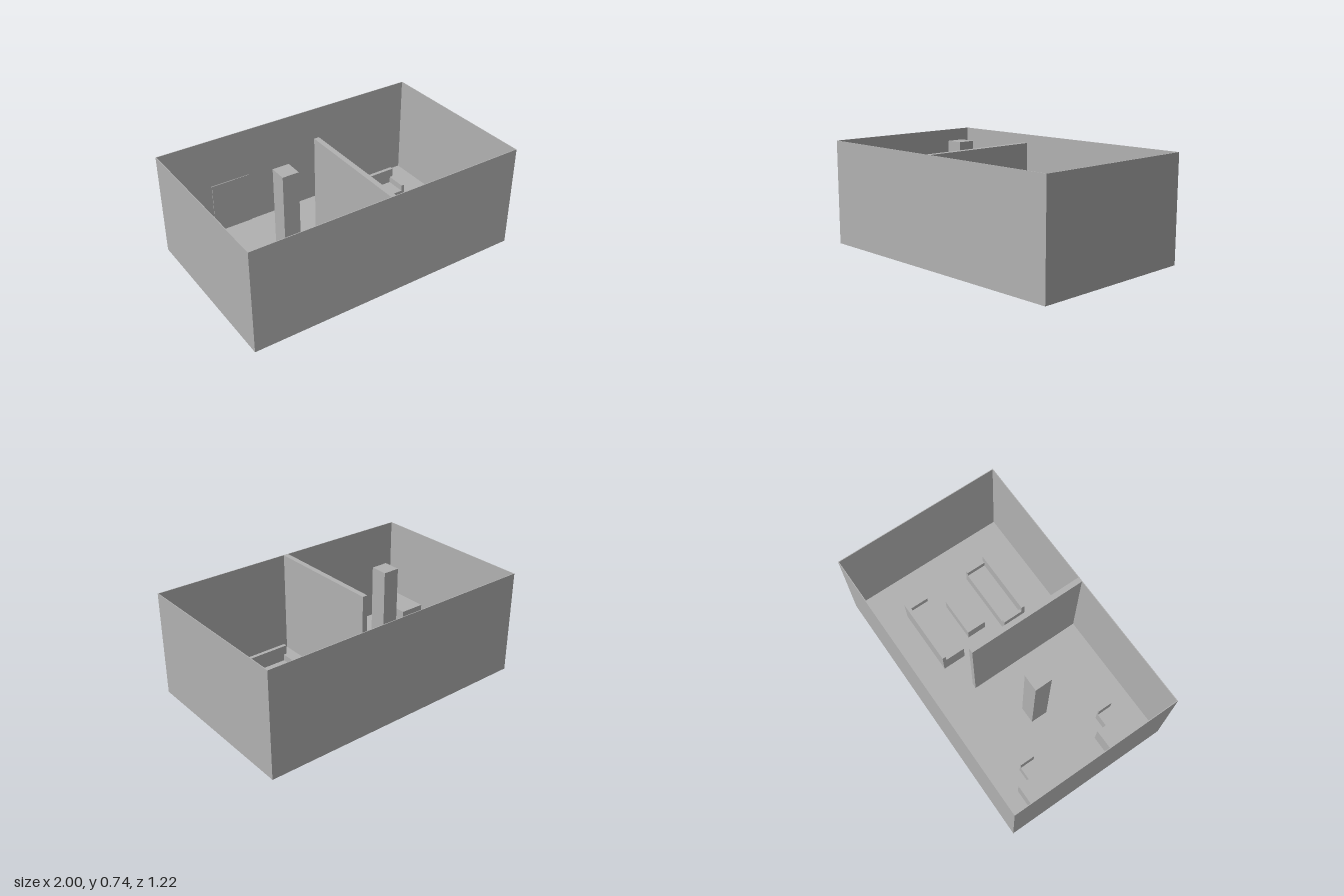
import * as THREE from 'three';

const GREY = new THREE.MeshStandardMaterial({ color: 0xb2b2b2 });
GREY.name = 'plain grey';

// Box given by its limits on each axis
function box(parent, name, [x0, x1], [y0, y1], [z0, z1]) {
  const mesh = new THREE.Mesh(new THREE.BoxGeometry(x1 - x0, y1 - y0, z1 - z0), GREY);
  mesh.position.set((x0 + x1) / 2, (y0 + y1) / 2, (z0 + z1) / 2);
  mesh.name = name;
  parent.add(mesh);
}

function group(parent, name, x = 0, z = 0) {
  const g = new THREE.Group();
  g.name = name;
  g.position.set(x, 0, z);
  parent.add(g);
  return g;
}

export function createModel() {
  const model = new THREE.Group();
  model.name = 'officeRoom';
  const W = 1, D = 0.612, H = 0.738, T = 0.005;

  // Room shell, open at the top
  const shell = group(model, 'roomShell');
  box(shell, 'floor', [-W, W], [0, T], [-D, D]);
  box(shell, 'backWall', [-W, W], [T, H], [-D, -D + T]);
  box(shell, 'frontWall', [-W, W], [T, H], [D - T, D]);
  box(shell, 'rightWall', [-W, -W + T], [T, H], [-D + T, D - T]);
  box(shell, 'leftWall', [W - T, W], [T, H], [-D + T, D - T]);
  box(model, 'partition', [-0.02, 0.017], [T, H], [-0.248, D - T]);
  box(model, 'column', [-0.448, -0.33], [T, H], [-0.065, 0.058]);
  box(model, 'door', [-0.632, -0.342], [T, 0.385], [-D + T, -0.602]);

  // Two work places: desk by the wall, chair with its back to the room
  for (const [deskZ, chairZ] of [[-0.282, -0.279], [0.367, 0.368]]) {
    const desk = group(model, 'desk', -0.883, deskZ);
    box(desk, 'deskBody', [-0.094, 0.094], [T, 0.187], [-0.143, 0.143]);
    const chair = group(model, 'chair', -0.73, chairZ);
    box(chair, 'chairSeat', [-0.053, 0.053], [T, 0.11], [-0.053, 0.053]);
    box(chair, 'chairBack', [0.043, 0.053], [0.11, 0.195], [-0.053, 0.053]);
  }

  // Two sofas facing each other across a low table
  for (const side of [-1, 1]) {
    const sofa = group(model, 'sofa', 0.47, side < 0 ? -0.263 : 0.257);
    if (side > 0) sofa.rotation.y = Math.PI;
    box(sofa, 'sofaSeat', [-0.222, 0.222], [T, 0.105], [-0.06, 0.086]);
    box(sofa, 'sofaBack', [-0.245, 0.245], [T, 0.215], [-0.086, -0.06]);
    for (const s of [-1, 1]) {
      const xs = [s * 0.222, s * 0.245].sort((a, b) => a - b);
      box(sofa, 'sofaArm', xs, [T, 0.15], [-0.06, 0.086]);
    }
  }
  box(model, 'coffeeTable', [0.325, 0.615], [T, 0.1], [-0.075, 0.068]);

  return model;
}
